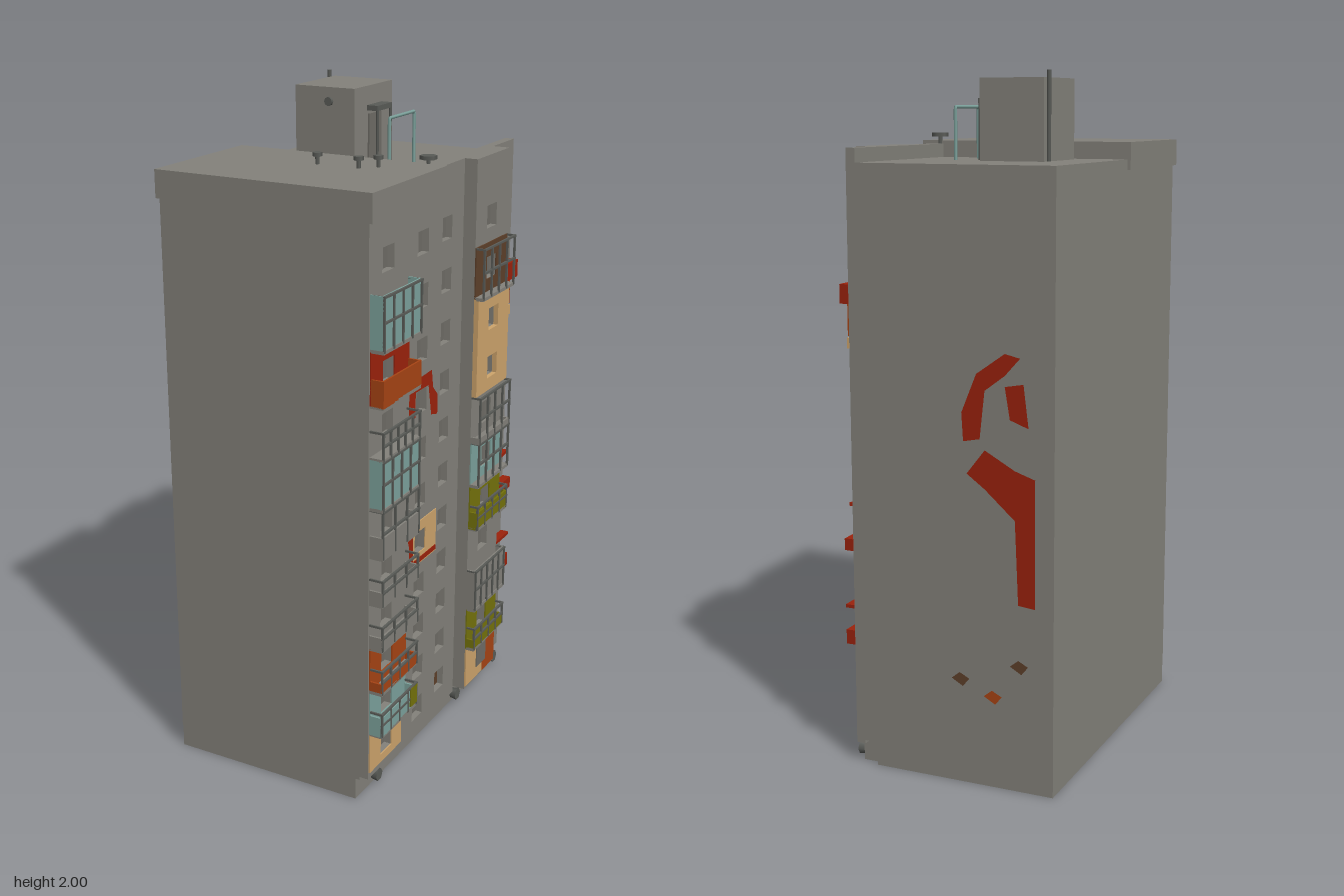
import * as THREE from 'three';

const mat = (name, color) => {
  const m = new THREE.MeshStandardMaterial({ color, side: THREE.DoubleSide });
  m.name = name;
  return m;
};

export function createModel() {
  const M = {
    concrete: mat('concrete', 0x84827b), recess: mat('window recess', 0x6f6d67),
    metal: mat('dark metal', 0x5a5c58), teal: mat('teal glazing', 0x7da39d),
    tan: mat('tan render', 0xcfa56c), orange: mat('orange paint', 0xa84414),
    red: mat('red paint', 0x9c220c), olive: mat('olive paint', 0x75730c),
    brown: mat('brown boards', 0x5e402a),
  };
  const root = new THREE.Group();
  root.name = 'apartmentBlock';

  const add = (name, geo, m) => {
    const mesh = new THREE.Mesh(geo, m);
    mesh.name = name;
    root.add(mesh);
    return mesh;
  };
  // Box given by its extents
  const box = (name, x0, x1, y0, y1, z0, z1, m) => {
    const g = new THREE.BoxGeometry(x1 - x0, y1 - y0, z1 - z0);
    g.translate((x0 + x1) / 2, (y0 + y1) / 2, (z0 + z1) / 2);
    return add(name, g, m);
  };
  const rod = (name, x, y0, y1, z, r, m, sides = 6) => {
    const g = new THREE.CylinderGeometry(r, r, y1 - y0, sides);
    g.translate(x, (y0 + y1) / 2, z);
    return add(name, g, m);
  };
  const rectPath = (Cls, u0, u1, v0, v1) => {
    const p = new Cls();
    p.moveTo(u0, v0); p.lineTo(u1, v0); p.lineTo(u1, v1); p.lineTo(u0, v1); p.closePath();
    return p;
  };
  const floors = [1.608, 1.455, 1.3, 1.148, 1.0, 0.857, 0.714, 0.571, 0.434, 0.296, 0.159];
  const edge = i => (i === 0 ? 1.69 : i === 11 ? 0.083 : (floors[i - 1] + floors[i]) / 2);

  // Wall slab facing +x with a hole for every window inside it
  const wall = (name, x0, x1, y0, y1, z0, z1, windowZ, m) => {
    const s = rectPath(THREE.Shape, -z1, -z0, y0, y1);
    for (const z of windowZ) for (const y of floors) {
      if (y - 0.034 < y0 || y + 0.034 > y1) continue;
      s.holes.push(rectPath(THREE.Path, -z - 0.034, -z + 0.034, y - 0.034, y + 0.034));
    }
    const g = new THREE.ExtrudeGeometry(s, { depth: x1 - x0, bevelEnabled: false });
    g.rotateY(Math.PI / 2).translate(x0, 0, 0);
    return add(name, g, m);
  };

  // Main volumes, plinth and roofs
  box('frontBlock', -0.355, 0.27, 0.07, 1.74, 0.06, 0.49, M.concrete);
  box('rearBlock', -0.355, 0.24, 0.07, 1.75, -0.49, 0.06, M.concrete);
  box('plinth', -0.355, 0.255, 0, 0.07, -0.47, 0.487, M.concrete);
  box('rearPlinth', -0.355, 0.2, 0, 0.07, -0.49, -0.47, M.concrete);
  box('roofCornice', -0.365, 0.31, 1.72, 1.8, 0.06, 0.495, M.concrete);

  // Facade bays with window openings
  const bayA = 0.385, bayB = 0.18, bayC = -0.005, bayD = -0.225, bayE = -0.39;
  wall('frontBayWall', 0.27, 0.298, 0.08, 1.72, 0.06, 0.49, [bayA, bayB], M.concrete);
  wall('stairBayWall', 0.24, 0.28, 0.06, 1.79, -0.115, 0.06, [bayC], M.concrete);
  wall('middleBayWall', 0.24, 0.32, 0.08, 1.79, -0.338, -0.115, [bayD], M.concrete);
  wall('rearBayWall', 0.24, 0.268, 0.06, 1.79, -0.49, -0.338, [bayE], M.concrete);
  for (const [z, x] of [[bayA, 0.272], [bayB, 0.272], [bayC, 0.255], [bayD, 0.295], [bayE, 0.245]])
    floors.forEach((y, i) => {
      box('windowPane', x, x + 0.005, y - 0.034, y + 0.034, z - 0.034, z + 0.034,
        i === 10 && z < 0.1 ? M.brown : M.recess);
      box('windowBar', x + 0.005, x + 0.009, y - 0.034, y + 0.034, z - 0.003, z + 0.003, M.concrete);
    });

  // Balcony: floor slab, optional wall paint, parapet, rails, glazing
  const balcony = (i, z0, z1, xWall, xOut, windowZ, o) => {
    const y0 = edge(i + 1), y1 = edge(i), h = y1 - y0;
    box('balconySlab', xWall, xOut, y0 - 0.004, y0 + 0.006, z0, z1, M.concrete);
    if (o.back) wall('balconyBackPaint', xWall, xWall + 0.004, y0, y1, z0, z1, [windowZ], o.back);
    if (o.panel) {
      const top = y0 + h * (o.height || 0.42);
      box('balconyPanel', xOut - 0.006, xOut, y0, top, z0, z1, o.panel);
      for (const z of [z0, z1 - 0.006])
        box('balconySide', xWall, xOut, y0, top, z, z + 0.006, o.panel);
    }
    if (o.glass) {
      const low = y0 + h * (o.low || 0);
      box('balconyGlazing', xOut - 0.008, xOut - 0.003, low, y1, z0, z1, o.glass);
      for (const z of [z0, z1 - 0.005])
        box('balconySideGlazing', xWall, xOut - 0.004, low, y1, z, z + 0.005, o.glass);
    }
    if (o.bars) {
      const top = o.rail ? y0 + h * 0.55 : y1;
      for (let k = 0; k <= o.bars; k++) {
        const z = z0 + 0.003 + (z1 - z0 - 0.006) * k / o.bars;
        box('balconyPost', xOut - 0.004, xOut + 0.002, y0, top, z - 0.003, z + 0.003, M.metal);
      }
      for (const y of [top, y0 + (top - y0) * 0.55])
        box('balconyRail', xOut - 0.004, xOut + 0.003, y - 0.006, y, z0, z1, M.metal);
      for (const z of [z0, z1 - 0.005])
        box('balconySideRail', xWall, xOut, top - 0.006, top, z, z + 0.005, M.metal);
    }
  };

  // Front bay balconies, floor index from the top
  const frontBalconies = {
    1: { glass: M.teal, bars: 4 },
    2: { panel: M.orange, back: M.red, height: 0.5 },
    3: { bars: 5, rail: true },
    4: { glass: M.teal, bars: 4 },
    5: { panel: M.concrete, height: 0.45, bars: 3 },
    6: { panel: M.concrete, height: 0.3, bars: 3, rail: true },
    7: { panel: M.concrete, height: 0.3, bars: 3, rail: true },
    8: { back: M.orange, panel: M.orange, height: 0.25, bars: 4, rail: true },
    9: { back: M.teal, panel: M.teal, height: 0.45, bars: 4, rail: true },
  };
  for (const [i, o] of Object.entries(frontBalconies)) balcony(+i, 0.265, 0.485, 0.298, 0.34, bayA, o);
  wall('groundTanPaint', 0.298, 0.302, 0.1, 0.228, 0.29, 0.485, [bayA], M.tan);
  box('olivePanel', 0.34, 0.344, 0.24, 0.3, 0.27, 0.31, M.olive);

  // Middle bay balconies
  const middleBalconies = {
    1: { back: M.brown, bars: 4 },
    4: { bars: 4, panel: M.concrete, height: 0.12 },
    5: { back: M.teal, bars: 4 },
    6: { back: M.olive, panel: M.olive, height: 0.4, bars: 4, rail: true },
    8: { glass: M.concrete, bars: 5 },
    9: { back: M.olive, panel: M.olive, height: 0.25, bars: 4, rail: true },
  };
  for (const [i, o] of Object.entries(middleBalconies)) balcony(+i, -0.338, -0.115, 0.32, 0.35, bayD, o);
  wall('middleTanPanels', 0.32, 0.335, edge(4), edge(2), -0.338, -0.115, [bayD], M.tan);
  wall('groundMiddleTan', 0.32, 0.325, 0.09, 0.225, -0.24, -0.115, [], M.tan);
  wall('groundMiddleOrange', 0.32, 0.326, 0.09, 0.225, -0.33, -0.24, [], M.orange);
  box('groundWindow', 0.325, 0.328, 0.125, 0.193, -0.259, -0.191, M.recess);

  // Paint patches on the second bay
  const patch = (name, pts, x, m) => {
    const g = new THREE.ShapeGeometry(new THREE.Shape(pts.map(p => new THREE.Vector2(-p[0], p[1]))));
    return add(name, g.rotateY(Math.PI / 2).translate(x, 0, 0), m);
  };
  wall('tanPatch', 0.298, 0.301, 0.645, 0.78, 0.075, 0.23, [bayB], M.tan);
  patch('redPatchEdge', [[0.275, 0.79], [0.225, 0.78], [0.225, 0.66], [0.25, 0.65], [0.25, 0.72]], 0.301, M.red);
  box('redPatchDrip', 0.301, 0.303, 0.65, 0.665, 0.08, 0.22, M.red);
  patch('redArch', [[0.26, 1.22], [0.12, 1.225], [0.11, 1.17], [0.08, 1.14], [0.08, 1.08],
    [0.12, 1.09], [0.14, 1.185], [0.22, 1.185], [0.22, 1.11], [0.26, 1.12]], 0.301, M.red);

  // Rear bay shelves and awnings
  const rear = (name, y0, y1, x1, m) => box(name, 0.268, x1, y0, y1, -0.492, -0.34, m);
  rear('redAwning', 1.36, 1.415, 0.295, M.red);
  wall('rearOrangePaint', 0.268, 0.272, 1.27, 1.36, -0.49, -0.34, [bayE], M.orange);
  rear('rearTanBand', 1.235, 1.265, 0.274, M.tan);
  rear('redShelf', 0.645, 0.68, 0.295, M.red);
  rear('redLedge', 0.472, 0.482, 0.295, M.red);
  rear('redBox', 0.362, 0.405, 0.295, M.red);
  const rail = box('slantedRail', 0.268, 0.29, -0.005, 0.005, -0.06, 0.06, M.red);
  rail.position.set(0, 0.77, -0.41);
  rail.rotation.x = 0.12;

  // Rear wall paint marks
  const mark = (name, pts, m) => {
    const g = new THREE.ShapeGeometry(new THREE.Shape(pts.map(p => new THREE.Vector2(-p[0], p[1]))));
    return add(name, g.rotateY(Math.PI).translate(0, 0, -0.493), m);
  };
  mark('rearMarkUpper', [[-0.08, 1.08], [-0.125, 1.19], [-0.21, 1.25], [-0.255, 1.24], [-0.21, 1.19],
    [-0.15, 1.145], [-0.135, 1.01], [-0.085, 1.0]], M.red);
  mark('rearMarkSide', [[-0.21, 1.16], [-0.265, 1.17], [-0.28, 1.05], [-0.225, 1.07]], M.red);
  mark('rearMarkLower', [[-0.095, 0.91], [-0.15, 0.98], [-0.24, 0.93], [-0.3, 0.91], [-0.3, 0.545],
    [-0.25, 0.55], [-0.24, 0.79], [-0.15, 0.87]], M.red);
  for (const [x, y, m] of [[-0.07, 0.31, M.brown], [-0.25, 0.37, M.brown], [-0.17, 0.27, M.orange]])
    mark('rearSpot', [[x + 0.025, y], [x, y + 0.02], [x - 0.03, y + 0.005], [x - 0.01, y - 0.02]], m);

  // Roof house with door, porch and mast
  box('roofHouse', -0.21, -0.015, 1.74, 1.98, -0.225, 0.005, M.concrete);
  box('roofDoor', -0.015, -0.01, 1.76, 1.9, -0.15, -0.075, M.recess);
  box('doorCanopy', -0.015, 0.02, 1.91, 1.925, -0.16, -0.07, M.metal);
  for (const z of [-0.155, -0.075]) rod('canopyPost', 0.017, 1.74, 1.92, z, 0.004, M.metal);
  rod('mast', -0.215, 1.75, 2.0, -0.2, 0.006, M.metal);
  add('houseVent', new THREE.CylinderGeometry(0.013, 0.013, 0.012, 8).rotateX(Math.PI / 2)
    .translate(-0.097, 1.94, 0.008), M.metal);

  // Teal pipe frame on the roof
  const frame = [[1.75, -0.185], [1.9, -0.185], [1.9, -0.03], [1.75, -0.03]]
    .map(p => new THREE.Vector3(0.08, p[0], p[1]));
  const path = new THREE.CurvePath();
  for (let i = 0; i < 3; i++) path.add(new THREE.LineCurve3(frame[i], frame[i + 1]));
  add('roofPipeFrame', new THREE.TubeGeometry(path, 48, 0.005, 6), M.teal);

  // Roof vents with hexagonal caps
  for (const [x, z, r, y] of [[-0.015, 0.215, 0.014, 1.825], [0.115, 0.215, 0.014, 1.825],
    [0.155, 0.175, 0.014, 1.825], [0.25, 0.06, 0.025, 1.815]]) {
    rod('ventPipe', x, 1.75, y, z, 0.006, M.metal);
    rod('ventCap', x, y - 0.003, y + 0.008, z, r, M.metal);
  }

  // Drain spouts at the plinth
  for (const z of [0.38, -0.16, -0.45])
    add('drainSpout', new THREE.CylinderGeometry(0.015, 0.02, 0.03, 6).rotateZ(Math.PI / 2)
      .translate(0.262, 0.028, z), M.metal);
  return root;
}
